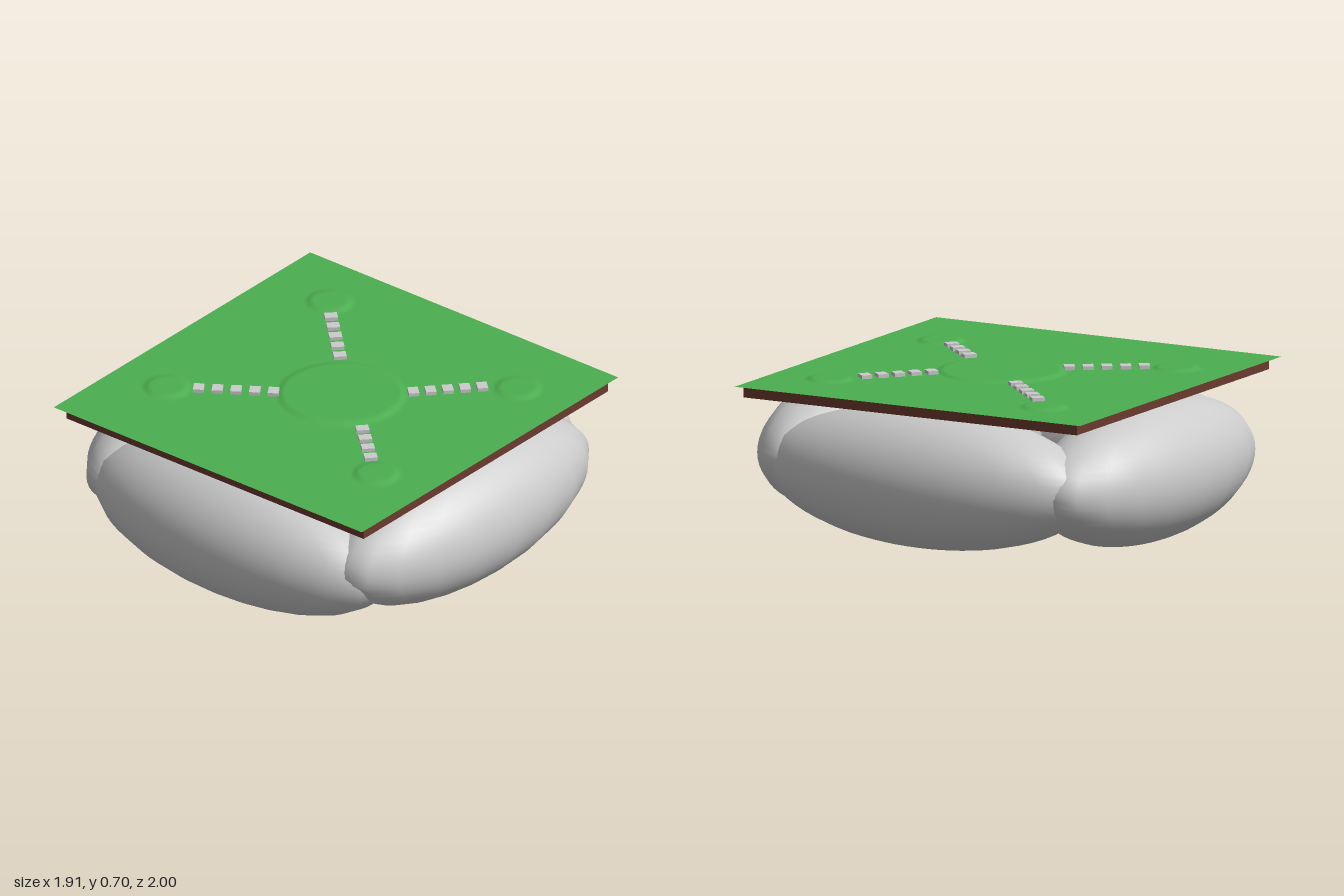
import * as THREE from 'three';

const mat = (color, side = THREE.FrontSide) => new THREE.MeshStandardMaterial({ color, side });

export function createModel() {
  const model = new THREE.Group();
  const grey = mat(0xcccccc);
  const brown = mat(0x6b3a2e);
  const green = mat(0x4caf50, THREE.DoubleSide);

  const add = (name, geometry, material, x, y, z, parent = model) => {
    const mesh = new THREE.Mesh(geometry, material);
    mesh.name = name;
    mesh.position.set(x, y, z);
    parent.add(mesh);
    return mesh;
  };

  // Four long rounded floats around the edge
  const floatGeometry = new THREE.SphereGeometry(1, 20, 32);
  const floats = [
    ['frontFloat', 0, 0.362, 0.685, 0.79, 0.31],
    ['backFloat', 0, 0.328, -0.69, 0.79, 0.31],
    ['leftFloat', 0.65, 0.34, 0, 0.305, 0.79],
    ['rightFloat', -0.655, 0.315, 0, 0.305, 0.79],
  ];
  for (const [name, x, y, z, sx, sz] of floats) {
    add(name, floatGeometry, grey, x, y, z).scale.set(sx, 0.308, sz);
  }

  // Central column with four struts reaching into the floats
  add('column', new THREE.CylinderGeometry(0.155, 0.155, 0.61, 32), grey, 0, 0.345, 0);
  const strutGeometry = new THREE.BoxGeometry(0.55, 0.19, 0.18);
  for (let i = 0; i < 4; i++) {
    const a = (i * Math.PI) / 2;
    add('strut', strutGeometry, grey, Math.cos(a) * 0.375, 0.195, -Math.sin(a) * 0.375).rotation.y = a;
  }

  // Soil slab
  add('soilSlab', new THREE.BoxGeometry(1.66, 0.045, 1.655), brown, -0.01, 0.66, 0.003);

  // Thin lawn sheet with low round mounds
  const mounds = [
    [0, 0.02, 0.28],
    [-0.43, -0.6, 0.105],
    [0.59, -0.53, 0.105],
    [-0.44, 0.575, 0.105],
    [0.52, 0.575, 0.105],
  ];
  const lawn = new THREE.PlaneGeometry(1.742, 1.715, 110, 110);
  lawn.rotateX(-Math.PI / 2);
  lawn.translate(-0.002, 0, -0.01);
  const p = lawn.attributes.position;
  for (let i = 0; i < p.count; i++) {
    let h = 0;
    for (const [mx, mz, r] of mounds) {
      const d = Math.hypot(p.getX(i) - mx, p.getZ(i) - mz);
      h = Math.max(h, 1 - THREE.MathUtils.smoothstep(d, r - 0.025, r));
    }
    p.setY(i, h * 0.01);
  }
  lawn.computeVertexNormals();
  add('lawn', lawn, green, 0, 0.691, 0);

  // Stepping-stone paths from the middle mound to each small one
  const stoneGeometry = new THREE.BoxGeometry(0.046, 0.016, 0.056);
  const paths = [
    [-0.18, -0.212, -0.36, -0.481, 5],
    [0.243, -0.19, 0.481, -0.434, 5],
    [-0.19, 0.291, -0.354, 0.471, 4],
    [0.201, 0.254, 0.423, 0.455, 5],
  ];
  for (const [x0, z0, x1, z1, n] of paths) {
    const path = new THREE.Group();
    path.name = 'stonePath';
    model.add(path);
    for (let i = 0; i < n; i++) {
      const t = i / (n - 1);
      const stone = add('steppingStone', stoneGeometry, grey,
        x0 + (x1 - x0) * t, 0.7, z0 + (z1 - z0) * t, path);
      stone.rotation.y = -Math.atan2(z1 - z0, x1 - x0);
    }
  }

  return model;
}
